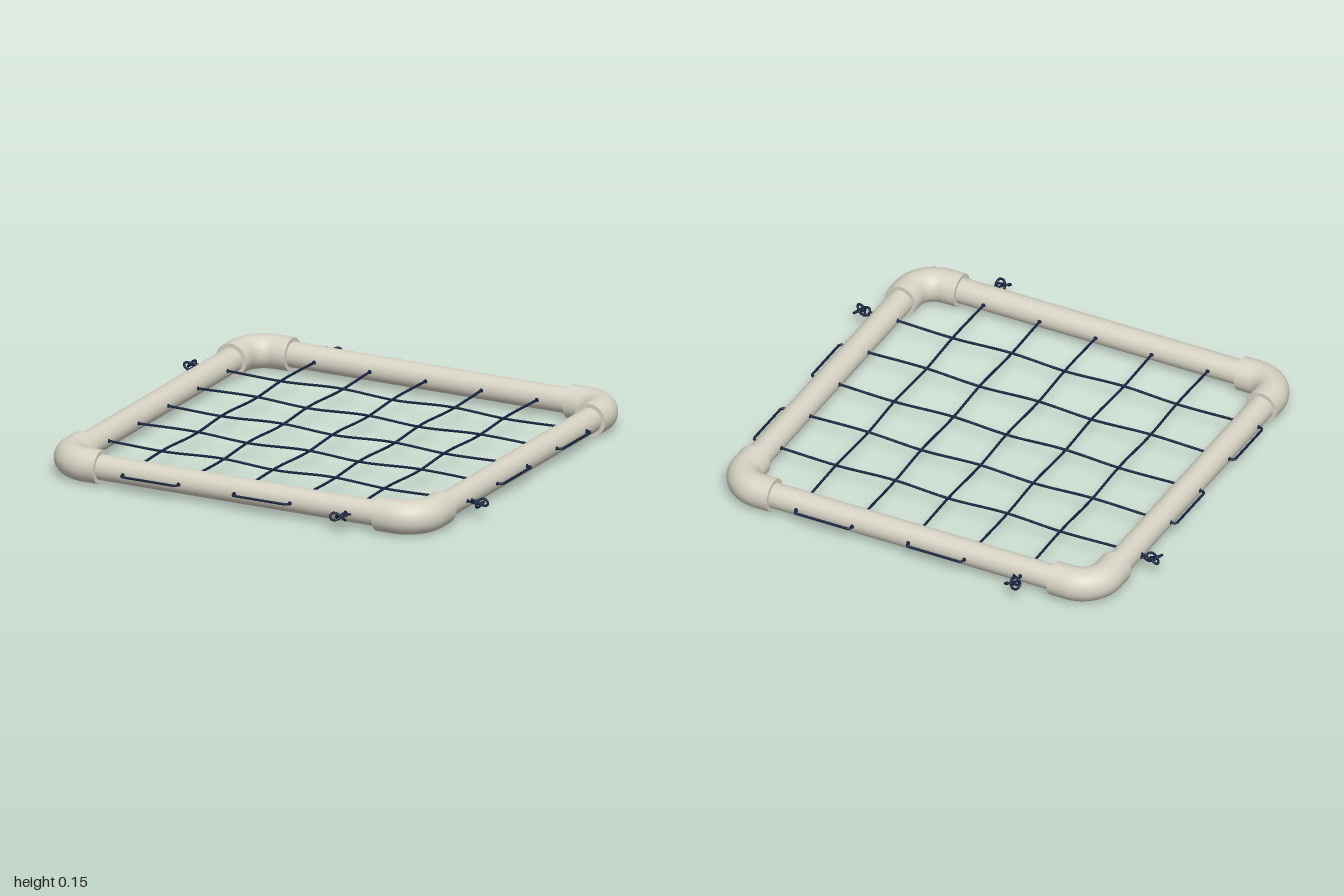
import * as THREE from 'three';

const Y = 0.073;        // height of the frame's centre line
const C = 0.853;        // frame centre line
const BEND = 0.12;      // elbow bend radius
const PITCH = 0.265;    // rope spacing
const ROPE = 0.0055;

export function createModel() {
  const model = new THREE.Group();
  const plastic = new THREE.MeshStandardMaterial({ color: 0xd6d2c4 });
  plastic.name = 'warm grey plastic';
  const navy = new THREE.MeshStandardMaterial({ color: 0x16243f });
  navy.name = 'navy rope';

  const add = (parent, name, geometry, material) => {
    const mesh = new THREE.Mesh(geometry, material);
    mesh.name = name;
    parent.add(mesh);
    return mesh;
  };

  // Four pipes and four elbows, one of each per quarter turn
  for (let k = 0; k < 4; k++) {
    const side = new THREE.Group();
    side.name = 'frameSide';
    side.position.y = Y;
    side.rotation.y = k * Math.PI / 2;
    model.add(side);

    const pipe = add(side, 'pipe', new THREE.CylinderGeometry(0.055, 0.055, 1.46, 40), plastic);
    pipe.rotation.z = Math.PI / 2;
    pipe.position.z = C;

    const elbow = new THREE.Group();
    elbow.name = 'elbow';
    side.add(elbow);
    const inner = C - BEND, collarEnd = 0.662;
    const bend = new THREE.TorusGeometry(BEND, 0.073, 40, 24, Math.PI / 2);
    bend.rotateX(Math.PI / 2);
    add(elbow, 'elbowBend', bend, plastic).position.set(inner, 0, inner);
    const collar = new THREE.CylinderGeometry(0.073, 0.073, inner - collarEnd, 40);
    const mid = (inner + collarEnd) / 2;
    const collarZ = add(elbow, 'elbowCollar', collar, plastic);
    collarZ.rotation.x = Math.PI / 2;
    collarZ.position.set(C, 0, mid);
    const collarX = add(elbow, 'elbowCollar', collar, plastic);
    collarX.rotation.z = Math.PI / 2;
    collarX.position.set(mid, 0, C);

    // Rope holes on the inner and outer faces of the pipe
    for (let i = -2; i <= 2; i++) {
      for (const s of [-1, 1]) {
        const hole = add(side, 'ropeHole', new THREE.CylinderGeometry(0.009, 0.009, 0.006, 12), navy);
        hole.rotation.x = Math.PI / 2;
        hole.position.set(i * PITCH, 0, C + s * 0.0535);
      }
    }
  }

  // One rope per direction; at(across, along, height) gives a point
  const buildRope = (name, at, weave, tailSide) => {
    const rope = new THREE.Group();
    rope.name = name;
    model.add(rope);
    const tube = (part, curve, segments, closed = false) =>
      add(rope, part, new THREE.TubeGeometry(curve, segments, ROPE, 8, closed), navy);

    for (let i = -2; i <= 2; i++) {
      // Strand woven over and under the crossing strands
      const points = [at(i * PITCH, -0.88, 0), at(i * PITCH, -0.8, 0)];
      for (let j = -2; j <= 2; j++) {
        points.push(at(i * PITCH, j * PITCH, weave * ((i + j) % 2 ? -1 : 1) * 0.006));
      }
      points.push(at(i * PITCH, 0.8, 0), at(i * PITCH, 0.88, 0));
      tube('ropeStrand', new THREE.CatmullRomCurve3(points), 64);
      if (i === 2) continue;

      // Return loop outside the frame, alternating ends
      const e = i % 2 ? -1 : 1, a = i * PITCH, b = a + PITCH, out = 0.932, r = 0.018;
      const path = new THREE.CurvePath();
      path.add(new THREE.LineCurve3(at(a, e * 0.88, 0), at(a, e * (out - r), 0)));
      path.add(new THREE.QuadraticBezierCurve3(at(a, e * (out - r), 0), at(a, e * out, 0), at(a + r, e * out, 0)));
      path.add(new THREE.LineCurve3(at(a + r, e * out, 0), at(b - r, e * out, 0)));
      path.add(new THREE.QuadraticBezierCurve3(at(b - r, e * out, 0), at(b, e * out, 0), at(b, e * (out - r), 0)));
      path.add(new THREE.LineCurve3(at(b, e * (out - r), 0), at(b, e * 0.88, 0)));
      tube('ropeLoop', path, 60);
    }

    // Stopper knot, lead and loose tail at each end of the rope
    for (const e of [-1, 1]) {
      const a = e * 2 * PITCH;
      const knot = [];
      for (let n = 0; n < 40; n++) {
        const t = n / 40 * Math.PI * 2;
        knot.push(at(
          a + 0.0122 * (Math.sin(t) + 2 * Math.sin(2 * t)),
          e * (0.967 + 0.0122 * (Math.cos(t) - 2 * Math.cos(2 * t))),
          -0.011 * Math.sin(3 * t)));
      }
      tube('stopperKnot', new THREE.CatmullRomCurve3(knot, true), 90, true);
      tube('knotLead', new THREE.CatmullRomCurve3(
        [at(a, e * 0.88, 0), at(a, e * 0.91, 0), at(a - tailSide * 0.006, e * 0.935, 0)]), 12);
      const s = tailSide;
      tube('knotTail', new THREE.CatmullRomCurve3([
        at(a + s * 0.008, e * 0.948, 0), at(a + s * 0.022, e * 0.938, 0),
        at(a + s * 0.016, e * 0.927, 0), at(a + s * 0.028, e * 0.914, 0)]), 20);
    }
  };

  buildRope('lengthwiseRope', (u, v, h) => new THREE.Vector3(u, Y + h, v), 1, 1);
  buildRope('crosswiseRope', (u, v, h) => new THREE.Vector3(v, Y + h, u), -1, -1);
  return model;
}
